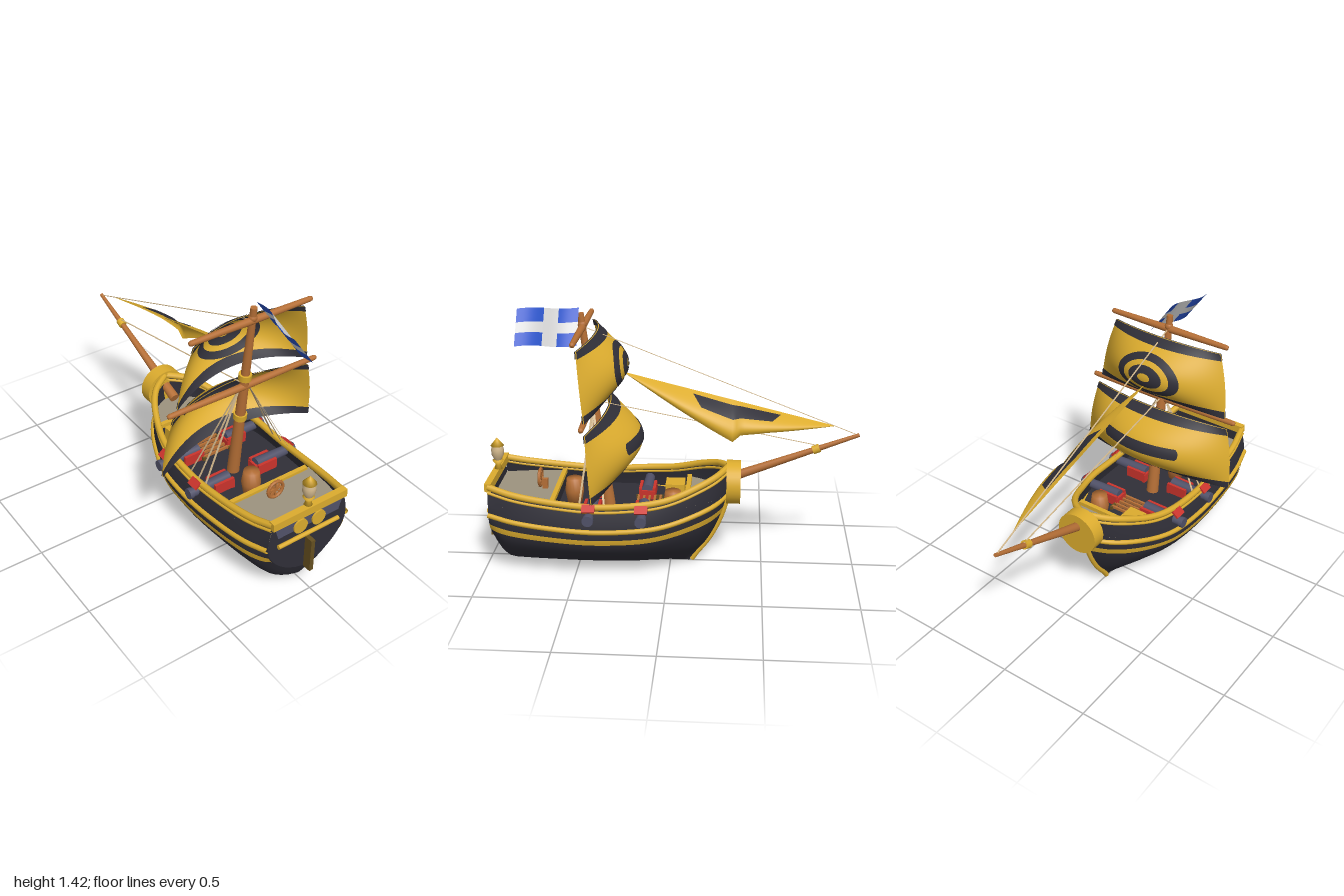
import * as THREE from 'three';

const V = (x, y, z) => new THREE.Vector3(x, y, z);
const mix = THREE.MathUtils.lerp;

function material(name, color) {
  const m = new THREE.MeshStandardMaterial({ color, side: THREE.DoubleSide });
  m.name = name;
  return m;
}

// Interpolates a short table of [x, y] pairs, rounded or straight
function table(pts, rounded = true) {
  const slope = (i) => {
    const a = pts[Math.max(i - 1, 0)], b = pts[Math.min(i + 1, pts.length - 1)];
    return (b[1] - a[1]) / (b[0] - a[0]);
  };
  return (x) => {
    let i = 0;
    while (i < pts.length - 2 && x > pts[i + 1][0]) i++;
    const [x0, y0] = pts[i], [x1, y1] = pts[i + 1], d = x1 - x0;
    const t = THREE.MathUtils.clamp((x - x0) / d, 0, 1);
    if (!rounded) return mix(y0, y1, t);
    const s = t * t * (3 - 2 * t);
    return mix(y0, y1, s) + d * t * (1 - t) * ((1 - t) * slope(i) - t * slope(i + 1));
  };
}

// Hull rules: t runs from stern (0) to bow (1)
const railY = table([[0, 0.5], [0.1, 0.47], [0.28, 0.44], [0.45, 0.425], [0.6, 0.435], [0.76, 0.46], [0.9, 0.52], [1, 0.565]]);
const keelY = table([[0, 0.13], [0.025, 0.06], [0.06, 0.015], [0.1, 0.008], [1, 0.008]], false);
const beam = table([[0, 0.245], [0.12, 0.28], [0.28, 0.3], [0.5, 0.308], [0.68, 0.292], [0.83, 0.225], [0.92, 0.155], [0.97, 0.085], [1, 0.01]]);
const section = table([[0, 0], [0.06, 0.3], [0.2, 0.64], [0.4, 0.9], [0.55, 0.99], [0.7, 1], [0.85, 0.96], [1, 0.9]]);
const stemZ = table([[0, -0.1], [0.06, -0.14], [0.14, -0.2], [0.26, -0.26], [0.4, -0.3], [0.57, -0.31]]);
const hullZ = (t, y) => 0.95 + (stemZ(y) - 0.95) * t;
function hullX(t, y) {
  const k = keelY(t);
  return beam(t) * section(THREE.MathUtils.clamp((y - k) / (railY(t) - k), 0, 1));
}
const hullPoint = (t, y, side, out = 0) => V(side * (hullX(t, y) + out), y, hullZ(t, y));

export function createModel() {
  const gold = material('gold', 0xdcac2e), dark = material('charcoal', 0x302f38);
  const wood = material('wood', 0xb56f36), cream = material('cream', 0xcfb58a);
  const blue = material('blue', 0x2d56cc), white = material('white', 0xdcdcdc);
  const red = material('red', 0xcb342c), steel = material('steel', 0x515269);
  const plank = material('deckGrey', 0x9d937f), brown = material('darkBrown', 0x665020);
  const model = new THREE.Group();

  function add(name, geometry, mat, x = 0, y = 0, z = 0) {
    const mesh = new THREE.Mesh(geometry, mat);
    mesh.name = name;
    mesh.position.set(x, y, z);
    model.add(mesh);
    return mesh;
  }
  const box = (name, mat, w, h, d, x, y, z) => add(name, new THREE.BoxGeometry(w, h, d), mat, x, y, z);
  // Grid surface following a rule of (u, v), both 0..1
  function surface(name, mat, nu, nv, rule) {
    const g = new THREE.PlaneGeometry(1, 1, nu, nv), p = g.attributes.position;
    for (let i = 0; i < p.count; i++) {
      const q = rule(p.getX(i) + 0.5, p.getY(i) + 0.5);
      p.setXYZ(i, q.x, q.y, q.z);
    }
    g.computeVertexNormals();
    return add(name, g, mat);
  }
  function rod(name, mat, a, b, ra, rb = ra, sides = 14) {
    const m = add(name, new THREE.CylinderGeometry(rb, ra, a.distanceTo(b), sides), mat);
    m.position.copy(a).lerp(b, 0.5);
    m.quaternion.setFromUnitVectors(V(0, 1, 0), b.clone().sub(a).normalize());
    return m;
  }
  function tube(name, mat, pts, r, n = 48) {
    return add(name, new THREE.TubeGeometry(new THREE.CatmullRomCurve3(pts), n, r, 8), mat);
  }
  // Flat rope ribbon
  function rope(name, a, b, w) {
    const m = box(name, cream, w, 0.0015, a.distanceTo(b), 0, 0, 0);
    m.position.copy(a).lerp(b, 0.5);
    m.lookAt(b);
  }
  const steps = (n, f) => Array.from({ length: n + 1 }, (_, i) => f(i / n));

  // Hull sides, painted band, wale and cap rail
  for (const s of [-1, 1]) {
    surface('hullSide', dark, 60, 24, (t, v) => hullPoint(t, mix(keelY(t), railY(t), v), s));
    surface('hullBand', gold, 60, 4, (t, v) => hullPoint(t, railY(t) * mix(0.535, 0.605, v), s, 0.005));
    tube('wale', gold, steps(24, (t) => hullPoint(t, railY(t) * 0.715, s, 0.004)), 0.014);
    tube('capRail', gold, steps(24, (t) => hullPoint(t, railY(t), s).add(V(0, 0.008, 0))), 0.018);
    tube('railMoulding', gold, steps(24, (t) => hullPoint(t, railY(t) * 0.955, s, 0.003)), 0.008);
  }
  tube('stem', gold, steps(10, (k) => V(0, mix(0.015, 0.45, k), stemZ(mix(0.015, 0.45, k)) - 0.008)), 0.014);

  // Decks and bulkheads
  const deck = (name, mat, y, t0, t1) => surface(name, mat, 2, 24, (u, v) => {
    const t = mix(t0, t1, v);
    return V((2 * u - 1) * hullX(t, y), y, hullZ(t, y));
  });
  deck('quarterDeck', plank, 0.41, 0, 0.265);
  deck('mainDeck', dark, 0.33, 0.26, 0.84);
  deck('foreDeck', plank, 0.42, 0.83, 1);
  box('quarterBulkhead', dark, 0.52, 0.09, 0.012, 0, 0.365, 0.62);
  box('quarterBeam', gold, 0.52, 0.022, 0.025, 0, 0.415, 0.62);
  box('foreBulkhead', dark, 0.38, 0.1, 0.012, 0, 0.375, -0.09);
  box('foreBeam', gold, 0.38, 0.025, 0.025, 0, 0.43, -0.095);

  // Transom with window panel, portholes, trims and rudder
  const edge = steps(20, (v) => mix(0.13, 0.5, v));
  const outline = [...edge.map((y) => new THREE.Vector2(hullX(0, y), y)), ...edge.reverse().map((y) => new THREE.Vector2(-hullX(0, y), y))];
  add('transom', new THREE.ShapeGeometry(new THREE.Shape(outline)), dark, 0, 0, 0.951);
  const pane = [[-0.21, 0.475], [-0.19, 0.41], [0.19, 0.41], [0.21, 0.475]].map((p) => new THREE.Vector2(...p));
  add('sternWindow', new THREE.ShapeGeometry(new THREE.Shape(pane)), steel, 0, 0, 0.956);
  for (const s of [-1, 1]) {
    add('porthole', new THREE.CylinderGeometry(0.042, 0.042, 0.009, 28).rotateX(Math.PI / 2), gold, s * 0.057, 0.43, 0.961);
  }
  box('taffrail', gold, 0.46, 0.045, 0.035, 0, 0.505, 0.95);
  rod('sternTrim', gold, V(-0.19, 0.358, 0.96), V(0.19, 0.358, 0.96), 0.012);
  box('rudder', brown, 0.024, 0.2, 0.05, 0, 0.23, 0.975);

  // Stern lantern
  const lathe = (pts) => new THREE.LatheGeometry(pts.map((p) => new THREE.Vector2(...p)), 18);
  add('lanternBase', lathe([[0, 0], [0.022, 0], [0.014, 0.025], [0.03, 0.05], [0, 0.06]]), gold, 0, 0.525, 0.94);
  add('lanternGlass', lathe([[0.02, 0], [0.034, 0.03], [0.034, 0.06], [0.024, 0.085]]), cream, 0, 0.58, 0.94);
  add('lanternCap', lathe([[0, 0], [0.036, 0], [0.012, 0.03], [0, 0.045]]), gold, 0, 0.66, 0.94);

  // Mast, yards and their fittings
  const mastAt = (y) => V(0, y, mix(0.335, 0.465, (y - 0.33) / 1.07));
  rod('mast', wood, mastAt(0.33), mastAt(1.4), 0.034, 0.017, 18);
  for (const [y, r] of [[0.72, 0.036], [0.98, 0.034]]) rod('mastRing', gold, mastAt(y - 0.017), mastAt(y + 0.017), r);
  add('mastKnob', new THREE.SphereGeometry(0.023, 14, 10), wood).position.copy(mastAt(1.34));
  for (const [half, y, z] of [[0.365, 1.325, 0.457], [0.46, 0.92, 0.412]]) {
    const pts = [[0, -half], [0.011, -half + 0.004], [0.014, -half + 0.015], [0.02, 0], [0.014, half - 0.015], [0.011, half - 0.004], [0, half]];
    add('yard', lathe(pts).rotateZ(Math.PI / 2), wood, 0, y, z);
  }

  // Square sails with stripes and markings on both faces
  function sail(name, s) {
    const at = (u, v, out = 0) => {
      const belly = 1 - u * u;
      return V(u * (mix(s.w0, s.w1, v) + 0.014 * Math.sin(Math.PI * v)),
        mix(s.y0, s.y1, v) + belly * mix(s.arch, 0.022, v),
        mix(s.z0, s.z1, v) - s.depth * belly * Math.sin(Math.PI * (0.15 + 0.75 * v)) + out);
    };
    surface(name, gold, 40, 32, (u, v) => at(2 * u - 1, v));
    const paint = (label, nu, nv, rule) => [-0.005, 0.005].forEach((o) =>
      surface(name + label, dark, nu, nv, (a, b) => at(...rule(a, b), o)));
    paint('FootStripe', 40, 5, (a, b) => [2 * a - 1, 0.115 * b]);
    paint('HeadStripe', 40, 5, (a, b) => [2 * a - 1, mix(0.9, 1, b)]);
    if (s.rings) for (const [r0, r1] of [[0.74, 1], [0.2, 0.54]]) {
      paint('Ring', 48, 5, (a, b) => {
        const r = mix(r0, r1, b), q = 2 * Math.PI * a;
        return [0.5 * r * Math.cos(q), 0.47 + 0.35 * r * Math.sin(q)];
      });
    } else paint('Bar', 30, 5, (a, b) => [(2 * a - 1) * (0.515 - 0.03 * Math.abs(2 * b - 1) ** 3), mix(0.44, 0.62, b)]);
  }
  sail('topSail', { w0: 0.4, w1: 0.33, y0: 0.935, y1: 1.285, z0: 0.405, z1: 0.445, arch: 0.055, depth: 0.2, rings: true });
  sail('mainSail', { w0: 0.47, w1: 0.42, y0: 0.53, y1: 0.88, z0: 0.37, z1: 0.4, arch: 0.04, depth: 0.235 });

  // Jib with its marking
  const foot = table([[0, 1.09], [0.518, 0.76], [0.555, 0.798], [0.68, 0.808], [1, 0.815]], false);
  const jib = (u, v, out = 0) => V(0.14 * Math.sin(Math.PI * u) * Math.sin(Math.PI * 0.62 * v) + out,
    mix(mix(1.09, 0.815, u), foot(u), v), 0.25 - 1.12 * u);
  surface('jib', gold, 56, 16, (u, v) => jib(u, v));
  for (const o of [-0.005, 0.005]) {
    surface('jibMark', dark, 20, 6, (a, b) => jib(mix(0.33, 0.74, a) + 0.04 * b * (1 - 2 * a), mix(0.1, 0.4, b), o));
  }

  // Bowsprit and round figurehead
  rod('bowsprit', wood, V(0, 0.47, -0.22), V(0, 0.768, -0.995), 0.028, 0.01);
  rod('bowspritRing', gold, V(0, 0.676, -0.755), V(0, 0.69, -0.79), 0.023);
  add('figureheadDisc', new THREE.CylinderGeometry(0.118, 0.118, 0.075, 32).rotateX(Math.PI / 2), gold, 0, 0.483, -0.34);

  // Standing rigging
  rope('topStay', mastAt(1.33), V(0, 0.77, -0.98), 0.008);
  rope('lowerStay', mastAt(0.93), V(0, 0.7, -0.8), 0.008);
  for (const s of [-1, 1]) for (const z of [0.33, 0.4, 0.46]) {
    rope('shroud', V(s * 0.03, 0.91, 0.407), V(s * 0.27, 0.44, z), 0.011);
  }

  // Flag with a cross, laid out in three by three fields
  const flagS = [0, 0.31, 0.56, 1], flagT = [0, 0.37, 0.65, 1];
  for (let i = 0; i < 3; i++) for (let j = 0; j < 3; j++) {
    surface('flagField', i === 1 || j === 1 ? white : blue, 8, 3, (a, b) => {
      const s = mix(flagS[i], flagS[i + 1], a), t = mix(flagT[j], flagT[j + 1], b);
      return V(0.01 - 0.04 * s + 0.02 * Math.sin(2 * Math.PI * s) + 0.12 * t, 1.43 - 0.02 * s - 0.17 * t, 0.47 + 0.33 * s);
    });
  }

  // Cannons with carriages and port lids
  for (const s of [-1, 1]) for (const z of [0.135, 0.41]) {
    rod('cannon', steel, V(s * 0.09, 0.38, z), V(s * 0.335, 0.38, z), 0.032, 0.025);
    rod('muzzle', steel, V(s * 0.32, 0.38, z), V(s * 0.342, 0.38, z), 0.03);
    for (const d of [-0.038, 0.038]) box('carriageCheek', red, 0.12, 0.06, 0.016, s * 0.14, 0.365, z + d);
    box('carriageEnd', red, 0.016, 0.05, 0.09, s * 0.085, 0.355, z);
    box('portLid', red, 0.045, 0.012, 0.068, s * 0.302, 0.435, z).rotation.z = -s * 0.7;
  }

  // Deck fittings: crate, barrels, grating
  box('crate', gold, 0.105, 0.1, 0.105, -0.112, 0.38, -0.02);
  const barrel = lathe([[0, 0], [0.04, 0], [0.052, 0.07], [0.042, 0.14], [0, 0.14]]);
  add('barrel', barrel, wood, 0.115, 0.33, -0.02);
  add('sternBarrel', barrel, wood, -0.03, 0.33, 0.53);
  for (let i = 0; i < 5; i++) box('gratingBar', wood, 0.17, 0.015, 0.012, 0, 0.35, 0.06 + i * 0.03);
  for (const s of [-1, 1]) box('gratingSide', brown, 0.015, 0.02, 0.15, s * 0.085, 0.345, 0.12);

  // Steering wheel
  box('wheelPost', wood, 0.025, 0.06, 0.03, -0.02, 0.435, 0.69);
  add('wheelRim', new THREE.TorusGeometry(0.046, 0.009, 8, 24), wood, -0.02, 0.472, 0.715);
  for (let i = 0; i < 4; i++) box('wheelSpoke', wood, 0.11, 0.009, 0.009, -0.02, 0.472, 0.715).rotation.z = i * Math.PI / 4;

  return model;
}
